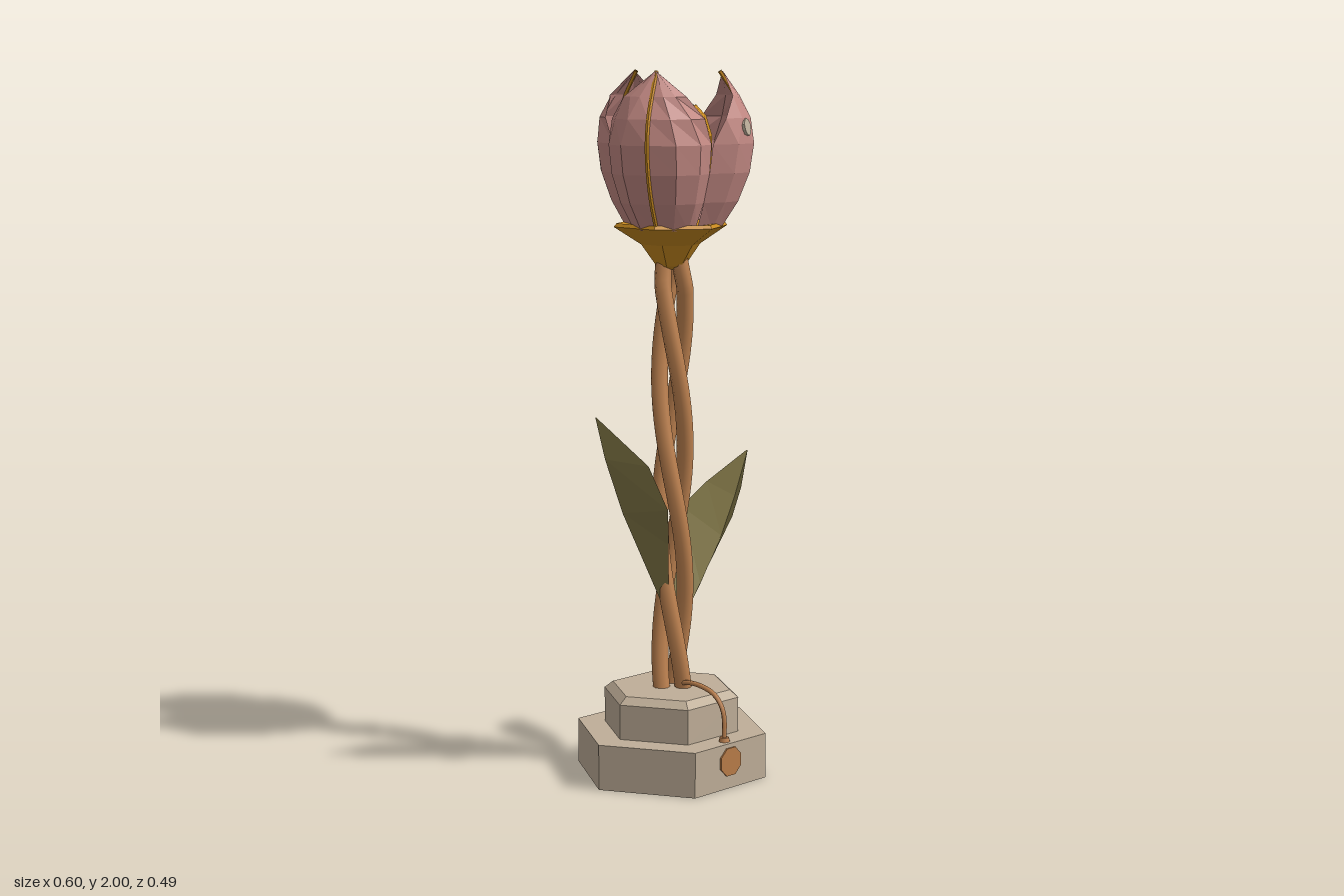
import * as THREE from 'three';

const mat = (name, color, flatShading = true, side = THREE.FrontSide) =>
  Object.assign(new THREE.MeshStandardMaterial({ color, flatShading, side }), { name });
const V = (x, y, z) => new THREE.Vector3(x, y, z);
const DEG = Math.PI / 180;

// Surface through rows of points
function sheet(rows) {
  const n = rows[0].length, index = [];
  for (let i = 0; i < rows.length - 1; i++) {
    for (let j = 0; j < n - 1; j++) {
      const a = i * n + j, b = a + n;
      index.push(a, a + 1, b, b, a + 1, b + 1);
    }
  }
  const geo = new THREE.BufferGeometry().setFromPoints(rows.flat());
  geo.setIndex(index);
  geo.computeVertexNormals();
  return geo;
}

// Curved petal facing +z; each row is [height, radius, half angle]
function petalRows(rows, cols, flatten, crease) {
  return rows.map(([y, r, half]) => Array.from({ length: cols + 1 }, (_, j) => {
    const a = half * (j / cols * 2 - 1);
    const rho = r * (1 - flatten * (a / 60) ** 2) - (j === cols / 2 ? crease : 0);
    return V(rho * Math.sin(a * DEG), y, rho * Math.cos(a * DEG));
  }));
}

export function createModel() {
  const stone = mat('stone', 0xbfae98);
  const copper = mat('copper', 0xbe8250, false);
  const plateMat = mat('plate copper', 0xb87c48);
  const olive = mat('olive leaf', 0x857a48, true, THREE.DoubleSide);
  const pink = mat('petal pink', 0xc48a84, true, THREE.DoubleSide);
  const gold = mat('gold', 0xc88a20, true, THREE.DoubleSide);
  const red = mat('dark red', 0x8c4630, true, THREE.DoubleSide);
  const cream = mat('cream', 0xbfb09c);

  const model = new THREE.Group();
  const body = new THREE.Group();
  body.name = 'flowerAndBase';
  body.position.x = -0.013;
  model.add(body);

  const add = (parent, name, geo, material, x = 0, y = 0, z = 0) => {
    const m = new THREE.Mesh(geo, material);
    m.name = name;
    m.position.set(x, y, z);
    parent.add(m);
    return m;
  };
  const tube = (points, radius, segs, sides = 8) =>
    new THREE.TubeGeometry(new THREE.CatmullRomCurve3(points), segs, radius, sides);

  // Stepped hexagonal base with a bevelled upper edge
  const hex = (top, bottom, h) => new THREE.CylinderGeometry(top, bottom, h, 6).rotateY(Math.PI / 6);
  add(body, 'lowerBase', hex(0.281, 0.281, 0.13), stone, 0, 0.065);
  add(body, 'upperBase', hex(0.2, 0.2, 0.1), stone, 0, 0.18);
  add(body, 'baseBevel', hex(0.175, 0.2, 0.02), stone, 0, 0.24);

  // Front plate
  const plate = new THREE.CylinderGeometry(0.043, 0.043, 0.008, 8)
    .rotateY(Math.PI / 8).rotateX(Math.PI / 2);
  add(body, 'frontPlate', plate, plateMat, -0.003, 0.078, 0.244);

  // Cable running from the stem down to the lower step
  add(body, 'cable', tube([V(0, 0.255, 0.02), V(0, 0.27, 0.06), V(0, 0.272, 0.12), V(0, 0.255, 0.18),
    V(0, 0.215, 0.212), V(0, 0.13, 0.217)], 0.007, 28, 6), copper);
  add(body, 'cableCollar', new THREE.CylinderGeometry(0.013, 0.016, 0.012, 12), copper, 0, 0.136, 0.217);

  // Three twisted stem strands
  for (let k = 0; k < 3; k++) {
    const points = [];
    for (let i = 0; i <= 36; i++) {
      const y = 0.245 + 1.26 * i / 36;
      const a = Math.PI / 2 - (y - 1.2) * Math.PI * 2 / 1.2 + k * Math.PI * 2 / 3;
      const r = y > 1.4 ? 0.036 - (y - 1.4) * 0.14 : 0.036;
      points.push(V(r * Math.sin(a) + 0.006, y, r * Math.cos(a)));
    }
    add(body, 'stemStrand', tube(points, 0.024, 72), copper);
  }

  // Folded leaves: [rib x, rib y, edge x, edge y, half width]
  const leaf = (name, side, rows) => add(model, name, sheet(rows.map(([rx, ry, ex, ey, w]) =>
    [V(side * ex, ey, -w), V(side * rx, ry, 0), V(side * ex, ey, w)])), olive);
  leaf('leftLeaf', 1, [
    [0.02, 0.42, 0.015, 0.43, 0.012], [0.105, 0.53, 0.06, 0.59, 0.07],
    [0.19, 0.66, 0.13, 0.74, 0.104], [0.245, 0.77, 0.2, 0.81, 0.07], [0.298, 0.9, 0.296, 0.9, 0.002]]);
  leaf('rightLeaf', -1, [
    [0.04, 0.48, 0.035, 0.49, 0.012], [0.12, 0.63, 0.08, 0.68, 0.06],
    [0.2, 0.78, 0.12, 0.79, 0.1], [0.265, 0.94, 0.18, 0.92, 0.085], [0.3, 1.06, 0.298, 1.06, 0.002]]);

  // Flared calyx
  const calyx = [[0.02, 1.45], [0.042, 1.46], [0.085, 1.52], [0.163, 1.57], [0.155, 1.58], [0.001, 1.565]];
  add(body, 'calyx', new THREE.LatheGeometry(calyx.map(p => new THREE.Vector2(...p)), 6), gold);

  // Outer petals with gold ribs
  const outer = petalRows([[1.565, 0.145, 58], [1.64, 0.195, 60], [1.72, 0.228, 60], [1.8, 0.24, 59],
    [1.87, 0.226, 47], [1.93, 0.193, 30], [1.997, 0.148, 1]], 6, 0.33, 0.008);
  const outerGeo = sheet(outer);
  const ribGeo = tube(outer.map(row => row[3]), 0.006, 18, 5);
  for (const angle of [60, 180, 300]) {
    const petal = new THREE.Group();
    petal.name = 'outerPetal';
    petal.rotation.y = angle * DEG;
    add(petal, 'petalBlade', outerGeo, pink);
    add(petal, 'petalRib', ribGeo, gold);
    body.add(petal);
  }

  // Pale spot on the front petal
  const spot = add(body, 'petalSpot', new THREE.CylinderGeometry(0.024, 0.024, 0.008, 10).rotateX(Math.PI / 2),
    cream, 0.118, 1.845, 0.178);
  spot.rotation.set(-0.2, 0.42, 0, 'YXZ');

  // Inner golden petals curling over the centre
  const innerGeo = sheet(petalRows([[1.565, 0.07, 62], [1.65, 0.1, 64], [1.74, 0.12, 64], [1.82, 0.122, 62],
    [1.875, 0.104, 60], [1.905, 0.075, 52], [1.885, 0.052, 58]], 6, 0.12, 0));
  for (const angle of [0, 120, 240]) {
    add(body, 'innerPetal', innerGeo, gold).rotation.y = angle * DEG;
  }

  // Flower centre with stamens
  const cup = [[0.001, 1.72], [0.04, 1.75], [0.062, 1.82], [0.055, 1.87]];
  add(body, 'flowerCentre', new THREE.LatheGeometry(cup.map(p => new THREE.Vector2(...p)), 8), red);
  for (let i = 0; i < 6; i++) {
    const a = i * Math.PI / 3, r = i % 2 ? 0.014 : 0.026;
    add(body, 'stamen', new THREE.ConeGeometry(0.009, 0.09, 5), i % 2 ? cream : gold,
      r * Math.sin(a), 1.79, r * Math.cos(a));
  }
  return model;
}
